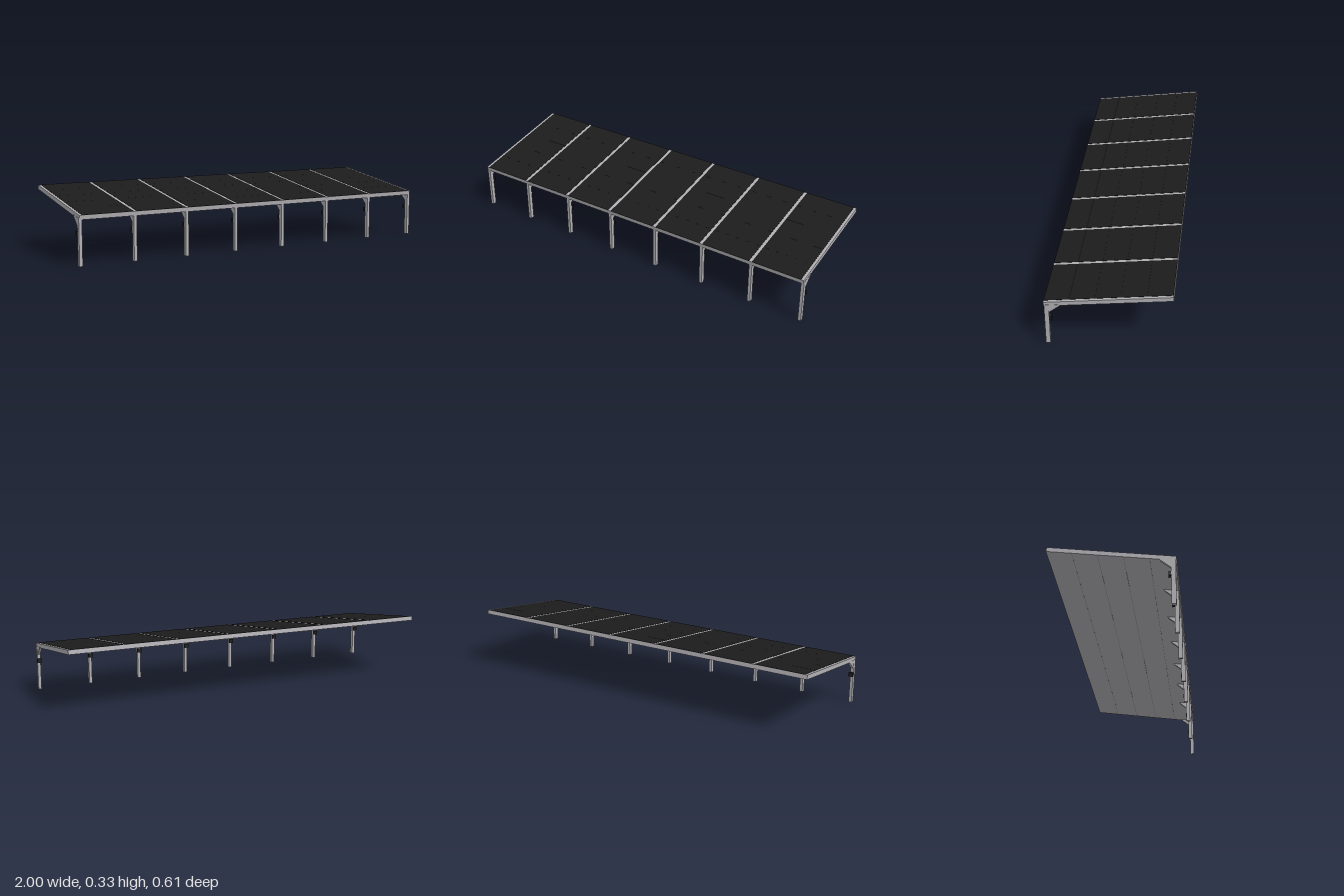
import * as THREE from 'three';

const steel = new THREE.MeshStandardMaterial({ name: 'galvanised grey', color: 0xb2b0b4 });
const black = new THREE.MeshStandardMaterial({ name: 'panel black', color: 0x1c1c1c });
const seamGrey = new THREE.MeshStandardMaterial({ name: 'seam dark grey', color: 0x77777a });

const BAYS = 7, ROWS = 5, END = 0.988, PITCH = 2 * END / BAYS;
const LENGTH = 0.611, THICK = 0.0225, SLOPE = 0.138;

function box(parent, name, mat, size, pos) {
  const mesh = new THREE.Mesh(new THREE.BoxGeometry(...size), mat);
  mesh.name = name;
  mesh.position.set(...pos);
  parent.add(mesh);
  return mesh;
}

// Sloping roof: deck, dark panels in bays and rows, seams on the underside
function makeRoof() {
  const roof = new THREE.Group();
  roof.name = 'roof';
  box(roof, 'roofDeck', steel, [1.988, THICK, LENGTH], [0, 0, 0]);
  const rowDepth = LENGTH / ROWS;
  for (let i = 0; i < BAYS; i++) {
    for (let j = 0; j < ROWS; j++) {
      box(roof, 'solarPanel', black, [PITCH - 0.016, 0.0015, rowDepth - 0.0003],
        [-END + (i + 0.5) * PITCH, THICK / 2 + 0.0005, (j + 0.5) * rowDepth - LENGTH / 2]);
    }
  }
  for (let j = 1; j < ROWS; j++) {
    box(roof, 'undersideSeam', seamGrey, [1.976, 0.0006, 0.0015],
      [0, -THICK / 2, j * rowDepth - LENGTH / 2]);
  }
  roof.position.y = 0.2785;
  roof.rotation.x = SLOPE;
  return roof;
}

// Triangular gusset between post and roof
const gussetShape = new THREE.Shape([
  new THREE.Vector2(-0.279, 0.189), new THREE.Vector2(-0.225, 0.235),
  new THREE.Vector2(-0.225, 0.242), new THREE.Vector2(-0.279, 0.234),
]);
const gussetGeo = new THREE.ExtrudeGeometry(gussetShape, { depth: 0.014, bevelEnabled: false });
gussetGeo.translate(0, 0, -0.007).rotateY(Math.PI / 2);

// Post with gusset and a small box mounted behind it
function makeSupport(x) {
  const support = new THREE.Group();
  support.name = 'support';
  box(support, 'post', steel, [0.016, 0.236, 0.022], [0, 0.118, 0.289]);
  const gusset = new THREE.Mesh(gussetGeo, steel);
  gusset.name = 'gusset';
  support.add(gusset);
  box(support, 'equipmentBox', black, [0.022, 0.02, 0.009], [0, 0.157, 0.2738]);
  box(support, 'equipmentCover', black, [0.024, 0.022, 0.004], [0, 0.157, 0.2672]);
  support.position.x = x;
  return support;
}

export function createModel() {
  const model = new THREE.Group();
  model.name = 'solarCanopy';
  model.add(makeRoof());
  for (let i = 0; i <= BAYS; i++) model.add(makeSupport(-END + i * PITCH));
  return model;
}
